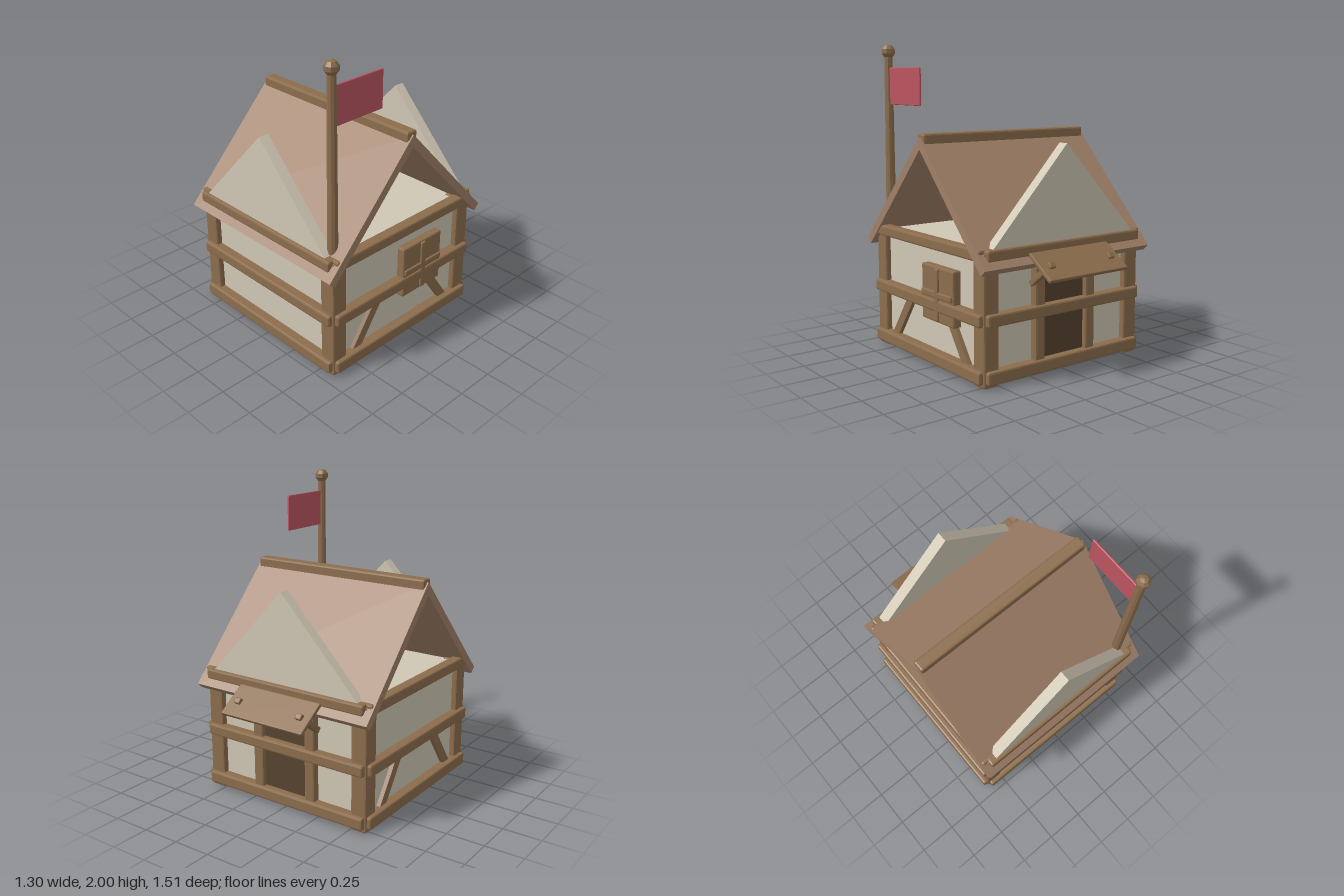
import * as THREE from 'three';
import { RoundedBoxGeometry } from 'three/addons/geometries/RoundedBoxGeometry.js';

const mat = (color, extra = {}) => new THREE.MeshStandardMaterial({ color, flatShading: true, ...extra });

export function createModel() {
  const model = new THREE.Group();
  const wood = mat(0x8c6d4d), plaster = mat(0xd0c7b4), tile = mat(0xa08068);
  const darkWood = mat(0x57432f), red = mat(0xbb5560);

  // Everything of the house itself is centred on this group
  const house = new THREE.Group();
  house.name = 'house';
  house.position.z = 0.075;
  model.add(house);

  const add = (name, geometry, material, x = 0, y = 0, z = 0) => {
    const mesh = new THREE.Mesh(geometry, material);
    mesh.name = name;
    mesh.position.set(x, y, z);
    house.add(mesh);
    return mesh;
  };
  const box = (name, material, w, h, d, x, y, z) =>
    add(name, new THREE.BoxGeometry(w, h, d), material, x, y, z);
  const timber = (name, w, h, d, x, y, z, r = 0.012) =>
    add(name, new RoundedBoxGeometry(w, h, d, 1, r), wood, x, y, z);

  // Plaster body
  box('walls', plaster, 1.15, 0.77, 1.15, 0, 0.405, 0);

  // Corner posts
  for (const x of [-0.557, 0.557]) {
    for (const z of [-0.557, 0.557]) timber('cornerPost', 0.11, 0.8, 0.11, x, 0.4, z);
  }

  // Three rings of horizontal beams, ends left open at the corners
  for (const [y, h] of [[0.065, 0.08], [0.405, 0.075], [0.785, 0.07]]) {
    for (const s of [-1, 1]) {
      timber('crossBeam', 1.2, h, 0.075, 0, y, s * 0.603);
      timber('sideBeam', 0.075, h, 1.2, s * 0.603, y, 0);
    }
  }

  // Diagonal braces on both side walls
  for (const sx of [-1, 1]) {
    for (const sz of [-1, 1]) {
      const brace = box('brace', wood, 0.05, 0.4, 0.06, sx * 0.577, 0.235, sz * 0.31);
      brace.rotation.x = -sz * -0.61 * -1;
    }
  }

  // Roof slabs: one cross-section run along x, then mirrored
  for (const s of [-1, 1]) {
    const section = new THREE.Shape([
      [0, 1.352], [0.635, 0.68], [0.675, 0.716], [0, 1.43],
    ].map(([z, y]) => new THREE.Vector2(-s * z, y)));
    const slab = new THREE.ExtrudeGeometry(section, { depth: 1.3, bevelEnabled: false });
    slab.translate(0, 0, -0.65).rotateY(Math.PI / 2);
    add('roofSlab', slab, tile);
  }
  timber('ridgeBeam', 1.28, 0.075, 0.08, 0, 1.412, 0);

  // Triangular gable plates standing on the front and back beams
  const triangle = new THREE.Shape([
    new THREE.Vector2(-0.58, 0.786), new THREE.Vector2(0.58, 0.786), new THREE.Vector2(0, 1.4),
  ]);
  for (const s of [-1, 1]) {
    const plate = new THREE.ExtrudeGeometry(triangle, { depth: 0.07, bevelEnabled: false });
    add('gable', plate, plaster, 0, 0, s * 0.583 - 0.035);
  }

  // Window on the left wall
  timber('windowPanel', 0.06, 0.35, 0.35, 0.6, 0.475, -0.15, 0.01);
  timber('windowBar', 0.03, 0.33, 0.04, 0.628, 0.475, -0.15, 0.008);
  timber('windowBar', 0.03, 0.04, 0.33, 0.628, 0.475, -0.15, 0.008);

  // Back door with its frame
  box('door', darkWood, 0.36, 0.56, 0.03, 0, 0.34, -0.575);
  for (const x of [-0.2, 0.2]) timber('doorPost', 0.075, 0.6, 0.06, x, 0.36, -0.59);
  timber('lintel', 0.475, 0.07, 0.065, 0, 0.645, -0.592);

  // Awning board and its struts, which poke through the board
  const awning = timber('awning', 0.615, 0.026, 0.235, 0, 0.7, -0.735, 0.006);
  awning.rotation.x = -0.6;
  for (const x of [-0.235, 0.235]) {
    const strut = timber('awningStrut', 0.045, 0.04, 0.24, x, 0.645, -0.675, 0.008);
    strut.rotation.x = 0.67;
  }

  // Flagpole
  add('flagpole', new THREE.CylinderGeometry(0.027, 0.033, 1.12, 10), wood, 0.54, 1.38, 0.545);
  add('poleKnob', new THREE.SphereGeometry(0.046, 8, 5), wood, 0.54, 1.954, 0.545);
  add('flag', new RoundedBoxGeometry(0.014, 0.24, 0.37, 1, 0.005), red, 0.54, 1.73, 0.34);

  // Braces lean inward as they rise
  house.children.filter((c) => c.name === 'brace').forEach((b) => {
    b.rotation.x = -Math.sign(b.position.z) * 0.61;
  });
  return model;
}
